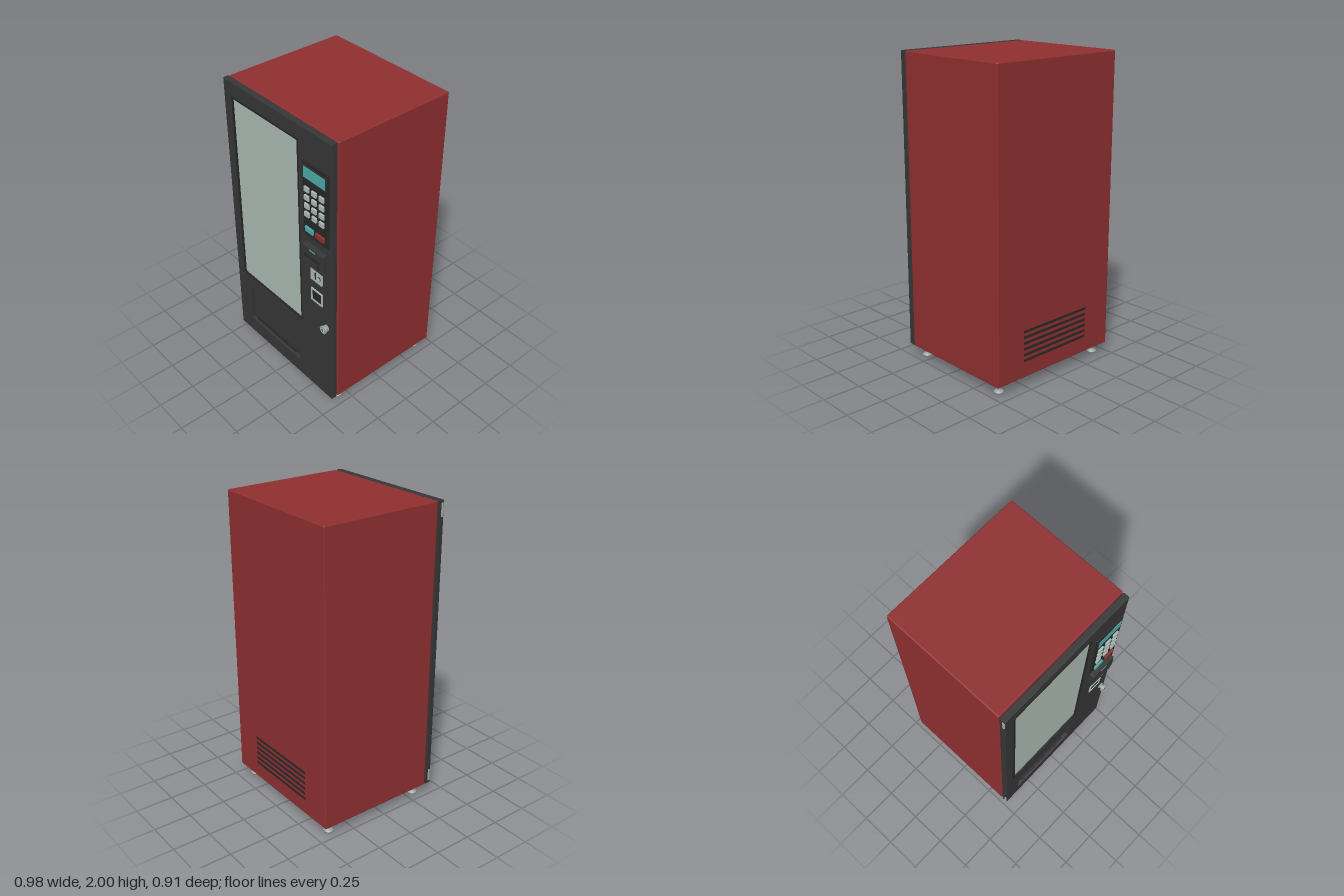
import * as THREE from 'three';
import { RoundedBoxGeometry } from 'three/addons/geometries/RoundedBoxGeometry.js';

const mat = (name, color) => {
  const m = new THREE.MeshStandardMaterial({ color });
  m.name = name;
  return m;
};

export function createModel() {
  const red = mat('red paint', 0x8f2f30);
  const charcoal = mat('charcoal', 0x363636);
  const black = mat('black trim', 0x272727);
  const pale = mat('pale glass and keys', 0xabbab3);
  const steel = mat('steel', 0x9aa5a0);
  const teal = mat('teal light', 0x48aca8);

  const model = new THREE.Group();
  model.name = 'vendingMachine';

  const add = (name, geometry, material, x = 0, y = 0, z = 0, parent = model) => {
    const mesh = new THREE.Mesh(geometry, material);
    mesh.name = name;
    mesh.position.set(x, y, z);
    parent.add(mesh);
    return mesh;
  };
  // Box given by its limits on each axis
  const box = (name, material, x0, x1, y0, y1, z0, z1, r = 0) => {
    const s = [x1 - x0, y1 - y0, z1 - z0];
    const g = r ? new RoundedBoxGeometry(...s, 2, r) : new THREE.BoxGeometry(...s);
    return add(name, g, material, (x0 + x1) / 2, (y0 + y1) / 2, (z0 + z1) / 2);
  };
  const rect = (P, x0, x1, y0, y1) => {
    const p = new P();
    p.moveTo(x0, y0).lineTo(x1, y0).lineTo(x1, y1).lineTo(x0, y1).closePath();
    return p;
  };
  // Plate with rectangular holes, its back at z0 and its front at z1
  const plate = (name, material, outer, holes, z0, z1, bevel = 0) => {
    const shape = rect(THREE.Shape, ...outer);
    shape.holes = holes.map((h) => rect(THREE.Path, ...h));
    const g = new THREE.ExtrudeGeometry(shape, {
      depth: z1 - z0 - 2 * bevel, bevelEnabled: bevel > 0, bevelSize: bevel,
      bevelThickness: bevel, bevelOffset: -bevel, bevelSegments: 2,
    });
    return add(name, g, material, 0, 0, z0 + bevel);
  };
  // Disc facing the front
  const disc = (name, material, r, x, y, z0, z1, sides = 24) => {
    const g = new THREE.CylinderGeometry(r, r, z1 - z0, sides).rotateX(Math.PI / 2);
    return add(name, g, material, x, y, (z0 + z1) / 2);
  };

  // Cabinet and back vents
  box('cabinet', red, -0.483, 0.487, 0.07, 2, -0.457, 0.365, 0.008);
  for (let i = 0; i < 6; i++) {
    const y = 0.175 + i * 0.038;
    box('ventSlot', black, -0.27, 0.275, y, y + 0.016, -0.459, -0.452);
  }

  // Door with openings for window and delivery bin
  const win = [-0.415, 0.2, 0.572, 1.905];
  const bin = [-0.363, 0.153, 0.19, 0.452];
  plate('door', charcoal, [-0.483, 0.484, 0.072, 2], [win, bin], 0.37, 0.411, 0.004);
  plate('windowGasket', black, win, [[-0.403, 0.19, 0.582, 1.893]], 0.372, 0.411);
  box('window', pale, -0.405, 0.192, 0.58, 1.895, 0.375, 0.402);

  // Delivery bin
  box('binBack', black, bin[0], bin[1], bin[2], bin[3], 0.364, 0.376);
  box('binFlap', charcoal, -0.356, 0.146, 0.198, 0.437, 0.376, 0.388);
  box('binFlapLip', black, -0.32, 0.105, 0.2, 0.212, 0.386, 0.4);

  // Keypad panel
  box('keypadPanel', black, 0.245, 0.463, 1.302, 1.802, 0.405, 0.421, 0.004);
  box('displayBezel', charcoal, 0.253, 0.452, 1.692, 1.778, 0.42, 0.424);
  box('display', teal, 0.261, 0.444, 1.7, 1.77, 0.42, 0.427);
  for (const y of [1.627, 1.57, 1.513, 1.456]) {
    for (const x of [0.288, 0.352, 0.416]) {
      box('key', pale, x - 0.02, x + 0.02, y - 0.017, y + 0.017, 0.42, 0.433, 0.003);
    }
  }
  box('confirmKey', teal, 0.271, 0.341, 1.334, 1.37, 0.42, 0.433, 0.003);
  box('cancelKey', red, 0.363, 0.437, 1.334, 1.37, 0.42, 0.433, 0.003);

  // Banknote reader
  box('noteReader', charcoal, 0.26, 0.445, 1.106, 1.246, 0.405, 0.445, 0.004);
  box('noteSlot', black, 0.288, 0.417, 1.182, 1.193, 0.44, 0.456);
  box('noteTray', charcoal, 0.288, 0.417, 1.13, 1.182, 0.44, 0.449);
  box('noteTrayEdge', black, 0.403, 0.41, 1.132, 1.17, 0.44, 0.452);
  box('noteLight', teal, 0.326, 0.378, 1.228, 1.236, 0.44, 0.447);

  // Coin slot
  box('coinPlate', pale, 0.3, 0.403, 0.985, 1.083, 0.405, 0.421, 0.003);
  box('coinSlot', black, 0.344, 0.353, 1.008, 1.06, 0.42, 0.423);
  disc('coinButtonRing', black, 0.014, 0.382, 1.032, 0.42, 0.424);
  disc('coinButton', pale, 0.01, 0.382, 1.032, 0.42, 0.433);

  // Coin return
  plate('coinReturnFrame', pale, [0.3, 0.402, 0.82, 0.916], [[0.31, 0.392, 0.83, 0.906]], 0.408, 0.418);
  box('coinReturnCup', black, 0.31, 0.392, 0.83, 0.906, 0.408, 0.413);

  // Door lock
  disc('lockStem', steel, 0.015, 0.438, 0.675, 0.405, 0.434);
  disc('lockCollar', steel, 0.022, 0.438, 0.675, 0.41, 0.418);
  disc('lockHead', steel, 0.028, 0.438, 0.675, 0.434, 0.444);
  disc('lockFace', pale, 0.017, 0.438, 0.675, 0.444, 0.447);
  box('lockKeyhole', black, 0.435, 0.441, 0.663, 0.687, 0.446, 0.449);

  // Hinge barrels
  for (const y of [0.133, 1.942]) {
    add('hinge', new THREE.CylinderGeometry(0.011, 0.011, 0.084, 20), steel, -0.477, y, 0.399);
  }

  // Levelling feet
  const footProfile = [[0, 0], [0.03, 0], [0.03, 0.01], [0.012, 0.019], [0.008, 0.02], [0.008, 0.075]]
    .map(([r, y]) => new THREE.Vector2(r, y));
  for (const x of [-0.42, 0.42]) {
    for (const z of [-0.39, 0.312]) {
      const foot = new THREE.Group();
      foot.name = 'foot';
      foot.position.set(x, 0, z);
      model.add(foot);
      add('footPad', new THREE.LatheGeometry(footProfile, 20), steel, 0, 0, 0, foot);
      add('footNut', new THREE.CylinderGeometry(0.018, 0.018, 0.013, 6), steel, 0, 0.043, 0, foot);
    }
  }
  return model;
}
